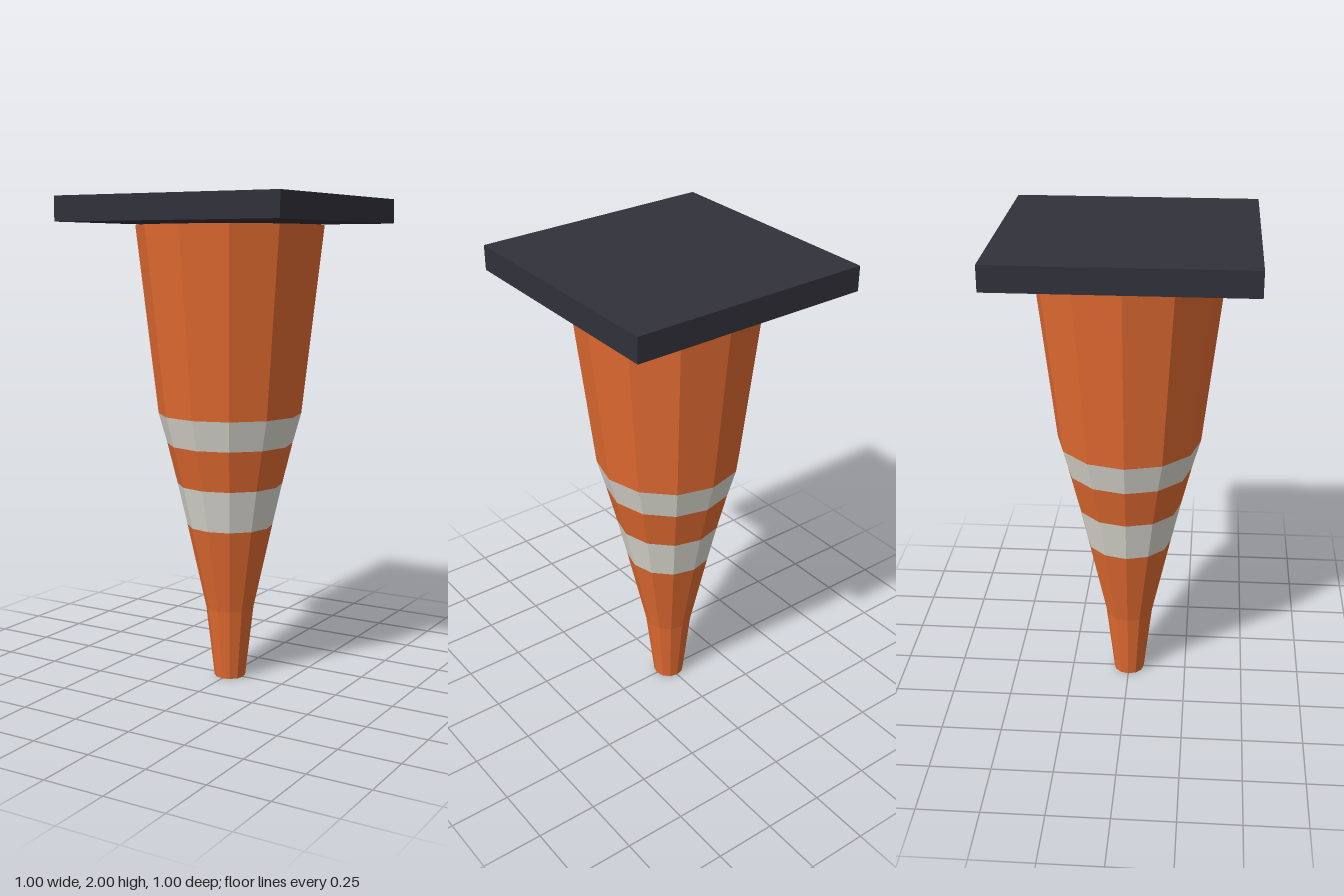
import * as THREE from 'three';

const SIDES = 12;

function material(name, color) {
  const m = new THREE.MeshStandardMaterial({ color, flatShading: true });
  m.name = name;
  return m;
}

export function createModel() {
  const orange = material('orange', 0xe46c32);
  const white = material('reflective white', 0xdedcd3);
  const dark = material('dark rubber', 0x31313b);

  const cone = new THREE.Group();
  cone.name = 'upturnedCone';

  // Cone sections from the narrow tip up: name, material, y0, r0, y1, r1
  const sections = [
    ['tip', orange, 0, 0.065, 0.3, 0.1],
    ['lowerBody', orange, 0.3, 0.1, 0.655, 0.178],
    ['lowerStripe', white, 0.655, 0.178, 0.83, 0.218],
    ['middleBody', orange, 0.83, 0.218, 1.0, 0.26],
    ['upperStripe', white, 1.0, 0.26, 1.125, 0.295],
    ['upperBody', orange, 1.125, 0.295, 1.89, 0.383],
  ];
  for (const [name, mat, y0, r0, y1, r1] of sections) {
    const geometry = new THREE.CylinderGeometry(r1, r0, y1 - y0, SIDES, 1, true);
    const mesh = new THREE.Mesh(geometry, mat);
    mesh.name = name;
    mesh.position.y = (y0 + y1) / 2;
    cone.add(mesh);
  }

  // Flat discs closing both ends; dir is the way each one faces
  for (const [name, y, r, dir] of [['tipCap', 0, 0.065, 1], ['wideCap', 1.89, 0.383, -1]]) {
    const cap = new THREE.Mesh(new THREE.CircleGeometry(r, SIDES), orange);
    cap.name = name;
    cap.rotation.x = dir * Math.PI / 2;
    cap.position.y = y;
    cone.add(cap);
  }

  // Square foot plate on top, a hair above the wide end
  const plate = new THREE.Mesh(new THREE.BoxGeometry(1, 0.1, 1), dark);
  plate.name = 'footPlate';
  plate.position.y = 1.95;
  cone.add(plate);

  return cone;
}
